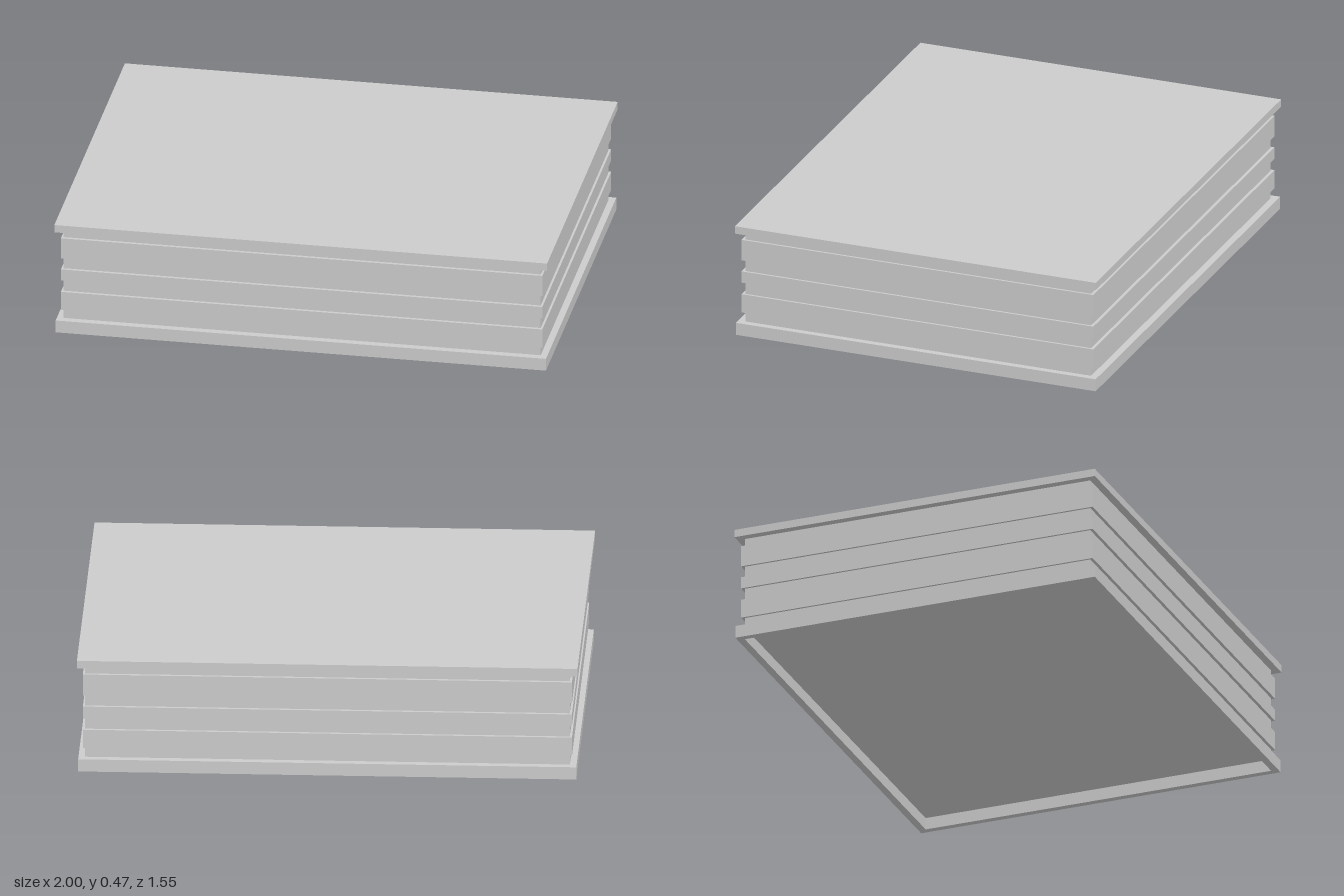
import * as THREE from 'three';

const material = new THREE.MeshStandardMaterial({ color: 0xcccccc });

// Box given by its half extents and its bottom and top heights
function slab(name, hx, hz, y0, y1) {
  const mesh = new THREE.Mesh(new THREE.BoxGeometry(hx * 2, y1 - y0, hz * 2), material);
  mesh.position.y = (y0 + y1) / 2;
  mesh.name = name;
  return mesh;
}

// Rectangular frame, open in the middle
function frame(name, hx, hz, innerX, innerZ, y0, y1) {
  const rect = (C, x, z) => new C([[-x, -z], [x, -z], [x, z], [-x, z]].map(p => new THREE.Vector2(...p)));
  const shape = rect(THREE.Shape, hx, hz);
  shape.holes.push(rect(THREE.Path, innerX, innerZ));
  const geometry = new THREE.ExtrudeGeometry(shape, { depth: y1 - y0, bevelEnabled: false });
  geometry.rotateX(-Math.PI / 2);
  const mesh = new THREE.Mesh(geometry, material);
  mesh.position.y = y0;
  mesh.name = name;
  return mesh;
}

export function createModel() {
  const group = new THREE.Group();
  group.name = 'bandedBox';
  const coreX = 0.968, coreZ = 0.743;

  // Body in two stacked halves, its underside recessed within the base rim
  group.add(slab('lowerBody', coreX, coreZ, 0.05, 0.2));
  group.add(slab('upperBody', coreX, coreZ, 0.2, 0.441));

  // Base rim and overhanging lid
  group.add(frame('baseRim', 0.995, 0.773, coreX, coreZ, 0, 0.052));
  group.add(slab('lid', 1, 0.775, 0.441, 0.473));

  // Raised bands around the body
  const bands = [['lowerBand', 0.093, 0.172], ['middleBand', 0.222, 0.271], ['upperBand', 0.319, 0.408]];
  for (const [name, y0, y1] of bands) {
    group.add(frame(name, 0.977, 0.756, coreX, coreZ, y0, y1));
  }
  return group;
}
